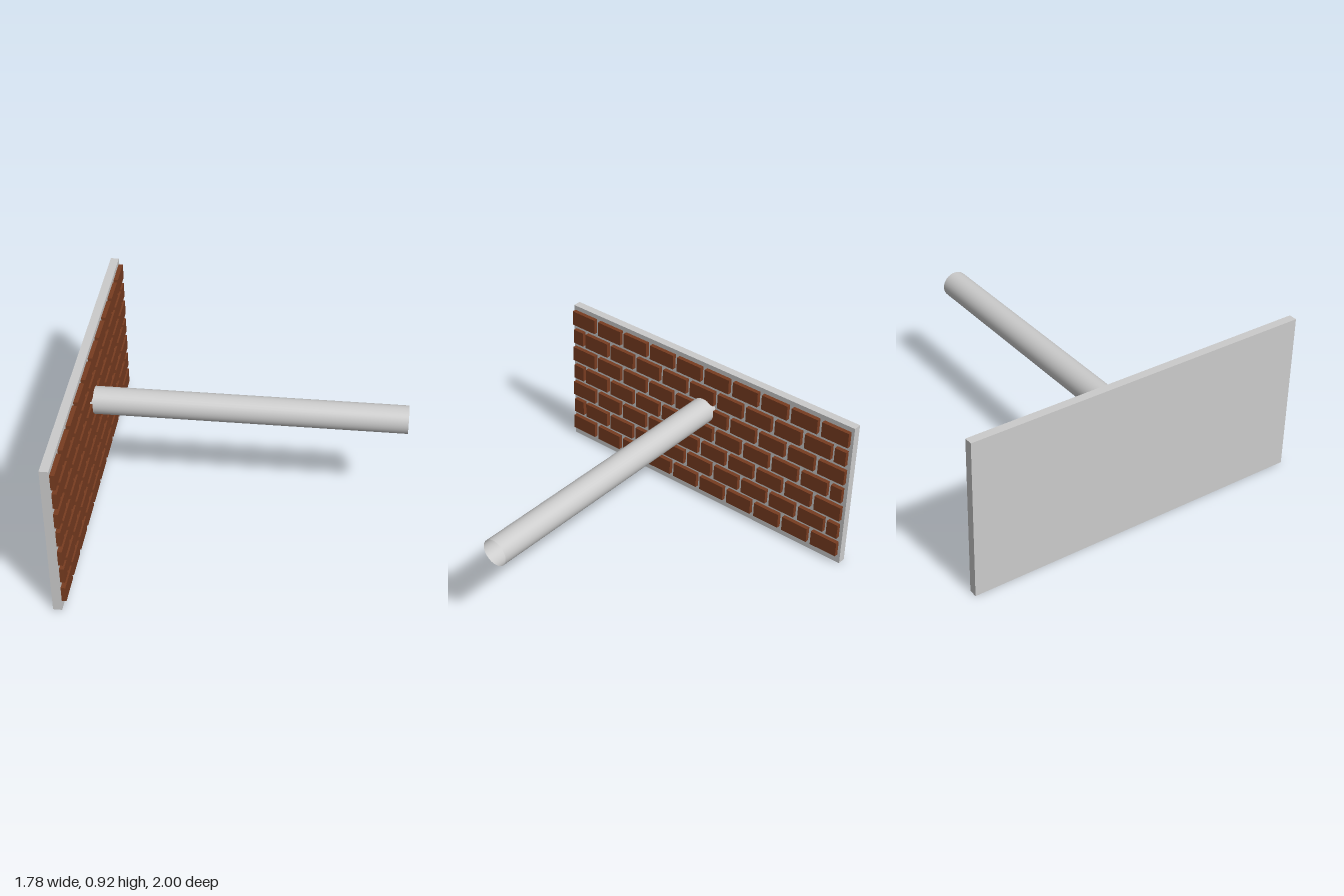
import * as THREE from 'three';

export function createModel() {
  const model = new THREE.Group();
  const grey = new THREE.MeshStandardMaterial({ color: 0xcccccc });
  const pipeGrey = new THREE.MeshStandardMaterial({ color: 0xcccccc, side: THREE.DoubleSide });
  const red = new THREE.MeshStandardMaterial({ color: 0x783c20 });

  const add = (parent, name, geometry, material, x, y, z) => {
    const mesh = new THREE.Mesh(geometry, material);
    mesh.name = name;
    mesh.position.set(x, y, z);
    parent.add(mesh);
    return mesh;
  };

  // Mortar slab behind the bricks
  add(model, 'wallSlab', new THREE.BoxGeometry(0.048, 0.924, 2), grey, -0.87, 0.462, 0);

  // Seven brick courses; every other one is shifted and closed by half bricks
  const bricks = new THREE.Group();
  bricks.name = 'bricks';
  model.add(bricks);
  const fullBrick = new THREE.BoxGeometry(0.026, 0.092, 0.172);
  const halfBrick = new THREE.BoxGeometry(0.026, 0.092, 0.072);
  const brickX = -0.834;
  for (let row = 0; row < 7; row++) {
    const y = 0.101 + row * 0.1247;
    const shifted = row % 2 === 1;
    const count = shifted ? 9 : 10;
    const start = shifted ? 0.804 : 0.904;
    for (let i = 0; i < count; i++) {
      add(bricks, 'brick', fullBrick, red, brickX, y, start - i * 0.2);
    }
    if (shifted) {
      add(bricks, 'halfBrick', halfBrick, red, brickX, y, 0.947);
      add(bricks, 'halfBrick', halfBrick, red, brickX, y, -0.942);
    }
  }

  // Open pipe standing out from the wall
  const pipe = new THREE.CylinderGeometry(0.077, 0.077, 1.737, 32, 1, true);
  pipe.rotateZ(-Math.PI / 2);
  add(model, 'pipe', pipe, pipeGrey, 0.0225, 0.622, -0.009);

  return model;
}
